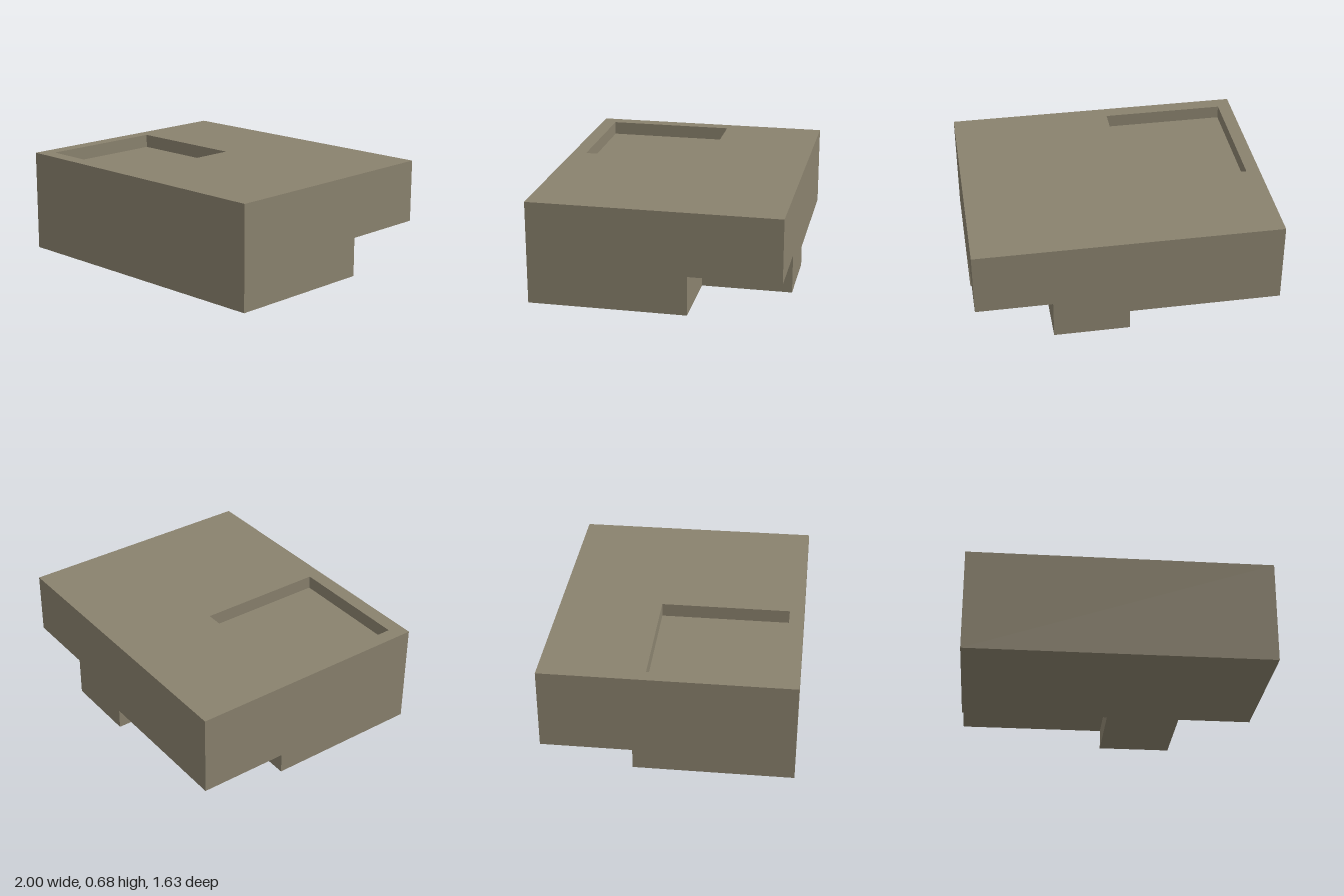
import * as THREE from 'three';
import { mergeGeometries } from 'three/addons/utils/BufferGeometryUtils.js';

// Block extents
const X = 1, Z = 0.816, H = 0.68;
// Recess in the top
const R = { x0: -0.91, x1: -0.09, z0: -0.135, z1: 0.72, y: 0.59 };
// Two notches under the back edge: front plane, inner edges, ceiling heights
const NZ = -0.22, NX = 0.5, NY = 0.26, MX = 0, MY = 0.136;

// In-plane axes, ordered so that u cross v points along the positive normal
const PLACE = {
  x: (c, u, v) => [c, u, v], // u = y, v = z
  y: (c, u, v) => [v, c, u], // u = z, v = x
  z: (c, u, v) => [u, v, c], // u = x, v = y
};

const toPath = (pts) => pts.map(([u, v]) => new THREE.Vector2(u, v));
const rect = (u0, v0, u1, v1) => [[u0, v0], [u1, v0], [u1, v1], [u0, v1]];

// Flat polygon on the plane axis = c, facing along sign * axis
function face(axis, sign, c, pts, hole) {
  const shape = new THREE.Shape(toPath(pts));
  if (hole) shape.holes.push(new THREE.Path(toPath(hole)));
  const geo = new THREE.ShapeGeometry(shape);
  const pos = geo.attributes.position;
  for (let i = 0; i < pos.count; i++) {
    pos.setXYZ(i, ...PLACE[axis](c, pos.getX(i), pos.getY(i)));
  }
  if (sign < 0) geo.index.array.reverse();
  geo.computeVertexNormals();
  return geo;
}

export function createModel() {
  const model = new THREE.Group();
  model.name = 'steppedBlock';
  const stone = new THREE.MeshStandardMaterial({ color: 0x8a826e });
  stone.name = 'warm grey';

  const add = (name, faces) => {
    const mesh = new THREE.Mesh(mergeGeometries(faces), stone);
    mesh.name = name;
    model.add(mesh);
  };

  // Side outline with its back lower corner cut to height y
  const side = (y) => [[0, NZ], [0, Z], [H, Z], [H, -Z], [y, -Z], [y, NZ]];

  // Outer faces of the block
  add('body', [
    face('y', 1, H, rect(-Z, -X, Z, X), rect(R.z0, R.x0, R.z1, R.x1)),
    face('z', 1, Z, rect(-X, 0, X, H)),
    face('x', 1, X, side(NY)),
    face('x', -1, -X, side(MY)),
    face('z', -1, -Z, [[-X, MY], [MX, MY], [MX, 0], [NX, 0], [NX, NY], [X, NY], [X, H], [-X, H]]),
    face('y', -1, 0, [[Z, -X], [Z, X], [NZ, X], [NZ, NX], [-Z, NX], [-Z, MX], [NZ, MX], [NZ, -X]]),
  ]);

  // Shallow pocket in the top
  add('topRecess', [
    face('y', 1, R.y, rect(R.z0, R.x0, R.z1, R.x1)),
    face('x', 1, R.x0, rect(R.y, R.z0, H, R.z1)),
    face('x', -1, R.x1, rect(R.y, R.z0, H, R.z1)),
    face('z', 1, R.z0, rect(R.x0, R.y, R.x1, H)),
    face('z', -1, R.z1, rect(R.x0, R.y, R.x1, H)),
  ]);

  // Deep notch under the +x back corner
  add('deepNotch', [
    face('y', -1, NY, rect(-Z, NX, NZ, X)),
    face('z', -1, NZ, rect(NX, 0, X, NY)),
    face('x', 1, NX, rect(0, -Z, NY, NZ)),
  ]);

  // Low, wide notch under the -x back corner
  add('wideNotch', [
    face('y', -1, MY, rect(-Z, -X, NZ, MX)),
    face('z', -1, NZ, rect(-X, 0, MX, MY)),
    face('x', -1, MX, rect(0, -Z, MY, NZ)),
  ]);

  return model;
}
